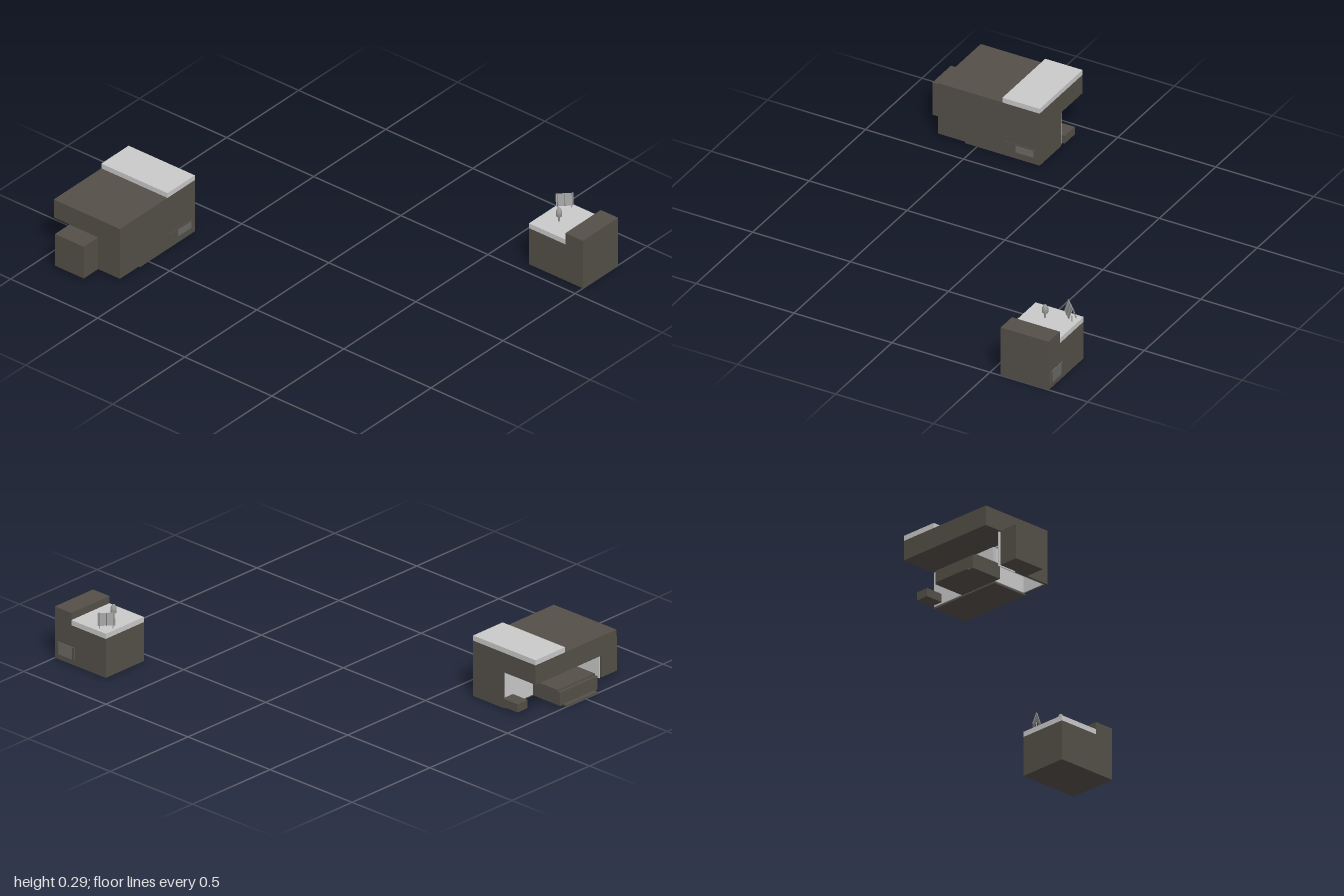
import * as THREE from 'three';

const mat = (name, color, side = THREE.FrontSide) => {
  const m = new THREE.MeshStandardMaterial({ color, side });
  m.name = name;
  return m;
};

export function createModel() {
  const dark = mat('dark wall', 0x544f48);
  const light = mat('light concrete', 0xcacaca);
  const grey = mat('grey metal', 0x9b9b9b);
  const slate = mat('slate panel', 0x6b6966);

  // box given by its extents on each axis
  const box = (parent, name, [x0, x1], [y0, y1], [z0, z1], material) => {
    const mesh = new THREE.Mesh(new THREE.BoxGeometry(x1 - x0, y1 - y0, z1 - z0), material);
    mesh.position.set((x0 + x1) / 2, (y0 + y1) / 2, (z0 + z1) / 2);
    mesh.name = name;
    parent.add(mesh);
    return mesh;
  };

  const model = new THREE.Group();
  model.name = 'twoBuildings';

  // Large building: upper storey carried by a core, side walls and a front box
  const large = new THREE.Group();
  large.name = 'largeBuilding';
  model.add(large);
  box(large, 'upperStorey', [-1, -0.62], [0.175, 0.27], [0.18, 0.7], dark);
  box(large, 'roofSlab', [-1, -0.62], [0.27, 0.295], [0.18, 0.37], light);
  box(large, 'core', [-0.81, -0.62], [0.008, 0.175], [0.18, 0.56], dark);
  box(large, 'coreBase', [-0.81, -0.62], [0, 0.008], [0.18, 0.56], dark);
  box(large, 'coreSideFacing', [-0.815, -0.81], [0.008, 0.175], [0.18, 0.56], light);
  box(large, 'frontBox', [-0.91, -0.745], [0.008, 0.175], [0.7, 0.8], dark);

  // Entrance hall, open below, with pale lining
  box(large, 'hallSideWall', [-0.63, -0.62], [0.008, 0.175], [0.56, 0.7], dark);
  box(large, 'hallFrontWall', [-0.81, -0.62], [0.008, 0.175], [0.69, 0.7], dark);
  box(large, 'hallSideLining', [-0.635, -0.63], [0.008, 0.175], [0.56, 0.69], light);
  box(large, 'hallFrontLining', [-0.91, -0.635], [0.008, 0.175], [0.685, 0.69], light);
  box(large, 'hallBackLining', [-0.81, -0.635], [0.008, 0.175], [0.56, 0.565], light);
  box(large, 'hallCeiling', [-0.81, -0.635], [0.17, 0.175], [0.565, 0.685], light);

  // Low terrace under the overhang and a small bench at the back
  box(large, 'terrace', [-0.965, -0.815], [0.005, 0.078], [0.36, 0.6], dark);
  box(large, 'terraceEdge', [-0.98, -0.965], [0.005, 0.07], [0.36, 0.6], dark);
  box(large, 'terraceLip', [-1, -0.98], [0, 0.008], [0.38, 0.58], dark);
  box(large, 'bench', [-0.905, -0.815], [0.015, 0.055], [0.165, 0.23], dark);

  // Side hatch
  box(large, 'sideHatch', [-0.62, -0.617], [0.025, 0.075], [0.195, 0.36], dark);
  box(large, 'sideHatchPanel', [-0.617, -0.615], [0.035, 0.068], [0.21, 0.3], slate);

  // Small building: body with flat pale roof and a taller wing
  const small = new THREE.Group();
  small.name = 'smallBuilding';
  model.add(small);
  box(small, 'body', [0.69, 0.9], [0.01, 0.19], [-0.8, -0.555], dark);
  box(small, 'flatRoof', [0.69, 0.9], [0.19, 0.215], [-0.8, -0.555], light);
  box(small, 'tallWing', [0.9, 1], [0.01, 0.25], [-0.8, -0.555], dark);
  box(small, 'basePlate', [0.69, 1], [0, 0.01], [-0.8, -0.555], dark);
  box(small, 'backDoor', [0.88, 0.985], [0.025, 0.085], [-0.803, -0.8], slate);
  for (const x of [0.885, 0.98])
    box(small, 'doorJamb', [x - 0.005, x + 0.005], [0.025, 0.085], [-0.805, -0.803], dark);

  // Roof vent: turned cowl on a thin pipe
  const profile = [[0.005, 0], [0.005, 0.02], [0.014, 0.028], [0.014, 0.05], [0.007, 0.065], [0, 0.068]]
    .map(([r, y]) => new THREE.Vector2(r, y));
  const vent = new THREE.Mesh(new THREE.LatheGeometry(profile, 12), grey);
  vent.position.set(0.78, 0.215, -0.655);
  vent.name = 'roofVent';
  small.add(vent);

  // Roof panel: two leaning plates on short legs, turned 45 degrees
  const frame = new THREE.Group();
  frame.name = 'roofPanel';
  frame.position.set(0.729, 0.215, -0.755);
  frame.rotation.y = Math.PI / 4;
  small.add(frame);
  for (const s of [-1, 1]) {
    const plate = new THREE.Mesh(new THREE.BoxGeometry(0.078, 0.056, 0.003), grey);
    plate.position.set(0, 0.047, s * 0.009);
    plate.rotation.x = -s * 0.3;
    plate.name = 'panelPlate';
    frame.add(plate);
    for (const x of [-0.033, 0, 0.033]) {
      const rib = new THREE.Mesh(new THREE.BoxGeometry(0.003, 0.056, 0.005), slate);
      rib.position.set(x, 0.047, s * 0.009);
      rib.rotation.x = -s * 0.3;
      rib.name = 'panelRib';
      frame.add(rib);
    }
    box(frame, 'panelLeg', [s * 0.03 - 0.002, s * 0.03 + 0.002], [0, 0.03], [-0.002, 0.002], grey);
  }
  return model;
}
